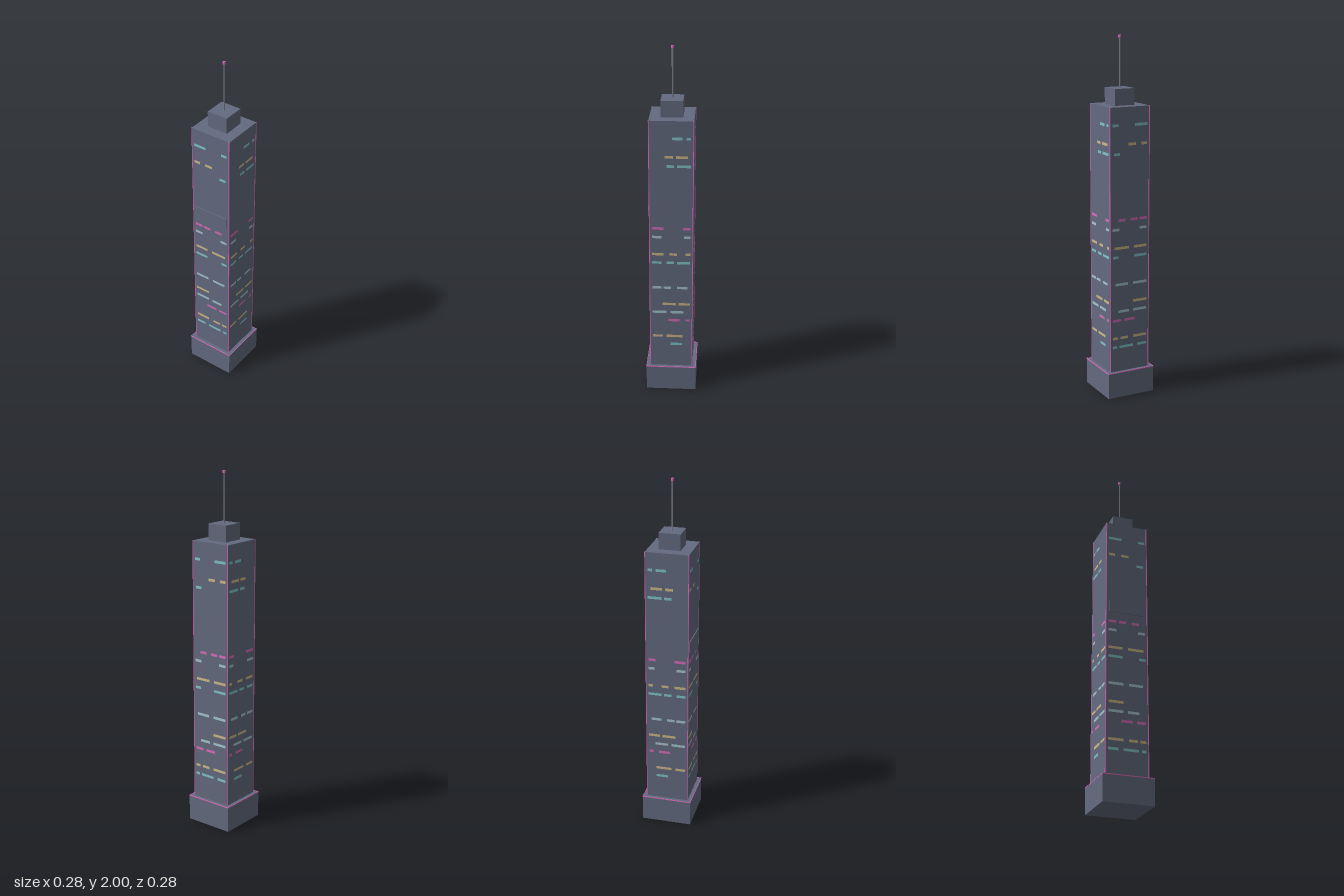
import * as THREE from 'three';

const material = (name, color) => {
  const m = new THREE.MeshStandardMaterial({ color });
  m.name = name;
  return m;
};

export function createModel() {
  const slate = material('slate', 0x646b80);
  const metal = material('metal', 0x85878f);
  const pink = material('pink', 0xdc6cbe);
  const teal = material('teal', 0x80c6ca);
  const amber = material('amber', 0xd0ba86);
  const pale = material('paleBlue', 0xa6c6d0);

  const model = new THREE.Group();
  model.name = 'tower';

  const add = (name, geometry, mat, x, y, z, parent = model) => {
    const mesh = new THREE.Mesh(geometry, mat);
    mesh.name = name;
    mesh.position.set(x, y, z);
    parent.add(mesh);
    return mesh;
  };
  const box = (name, mat, w, y0, y1, d, x = 0, z = 0) =>
    add(name, new THREE.BoxGeometry(w, y1 - y0, d), mat, x, (y0 + y1) / 2, z);
  const rod = (name, mat, r, y0, y1, x = 0, z = 0) =>
    add(name, new THREE.CylinderGeometry(r, r, y1 - y0, 8), mat, x, (y0 + y1) / 2, z);

  // Stacked masses
  box('base', slate, 0.283, 0, 0.147, 0.283);
  box('shaft', slate, 0.24, 0.147, 1.63, 0.24);
  box('roofBlock', slate, 0.12, 1.63, 1.72, 0.12);
  box('frontPanel', slate, 0.207, 1.07, 1.135, 0.007, 0, 0.122);

  // Mast with a beacon
  rod('mast', metal, 0.004, 1.72, 1.988);
  rod('beacon', pink, 0.008, 1.986, 2);

  // Trim around the base and up the shaft corners
  for (const s of [-1, 1]) {
    box('baseTrim', pink, 0.285, 0.144, 0.149, 0.0025, 0, s * 0.14125);
    box('baseTrim', pink, 0.0025, 0.144, 0.149, 0.285, s * 0.14125, 0);
    for (const t of [-1, 1])
      rod('cornerStrip', pink, 0.003, 0.147, 1.631, s * 0.1188, t * 0.1188);
  }

  // One lit floor: a full-width strip broken by gaps (from, to, from, to...) in hundredths,
  // repeated on the opposite side of the shaft
  const edge = 10.5;
  const litFloor = (face, floor, mat, gaps) => {
    const y = 0.29 + floor * 0.0518;
    const ends = [-edge, ...gaps, edge];
    for (let i = 0; i < ends.length; i += 2) {
      const width = (ends[i + 1] - ends[i]) / 100;
      if (width <= 0) continue;
      const x = (ends[i] + ends[i + 1]) / 200;
      for (const s of [-1, 1]) {
        const strip = add('windowStrip', new THREE.PlaneGeometry(width, 0.015), mat, x, y, s * 0.1208, face);
        if (s < 0) strip.rotation.y = Math.PI;
      }
    }
  };

  const frontBack = new THREE.Group();
  frontBack.name = 'frontAndBackWindows';
  const sides = new THREE.Group();
  sides.name = 'sideWindows';
  sides.rotation.y = Math.PI / 2;
  model.add(frontBack, sides);

  // Floor, colour, gaps on front and back, gaps on the two sides
  const floors = [
    [0, teal, [-4.8, -2.1, 6.3, 8], [-edge, -0.5, 6.3, edge]],
    [1, amber, [-2.1, 1, 5.8, 7.4], [-4.8, -2.6, 6.3, edge]],
    [3, pink, [-edge, -3.2, 3.2, 5.3], [-edge, -1.6, 4.8, 8]],
    [4, pale, [-2.1, 0.5, 6.9, edge], [-2.6, -0.5, 6.9, edge]],
    [5, amber, [-2.1, edge], [-edge, -4.8, 2.6, 4.2]],
    [7, pale, [-2.1, 1, 9, edge], [-5.3, -4.2, 0, 3.2, 9, edge]],
    [10, teal, [-2.6, 6.9], [-5.3, -2.6, 1.6, 3.2]],
    [11, amber, [-2.6, 0.6, 9.5, edge], [-4.2, -1, 3.2, 8]],
    [13, pale, [-6, 6.4], [-5.3, 7]],
    [14, pink, [-6, -4.7, -0.5, 2.7, 7, edge], [-4.2, 6.4]],
    [21, teal, [-edge, 6, 9.7, edge], [-edge, -2.5, 1.5, 3]],
    [22, amber, [-7, -3.5, 1, edge], [-edge, -3.5, 1, 2.5, 9, edge]],
    [24, teal, [-3, 7], [-edge, 0.5, 6, 8]],
  ];
  for (const [floor, mat, frontGaps, sideGaps] of floors) {
    litFloor(frontBack, floor, mat, frontGaps);
    litFloor(sides, floor, mat, sideGaps);
  }

  return model;
}
